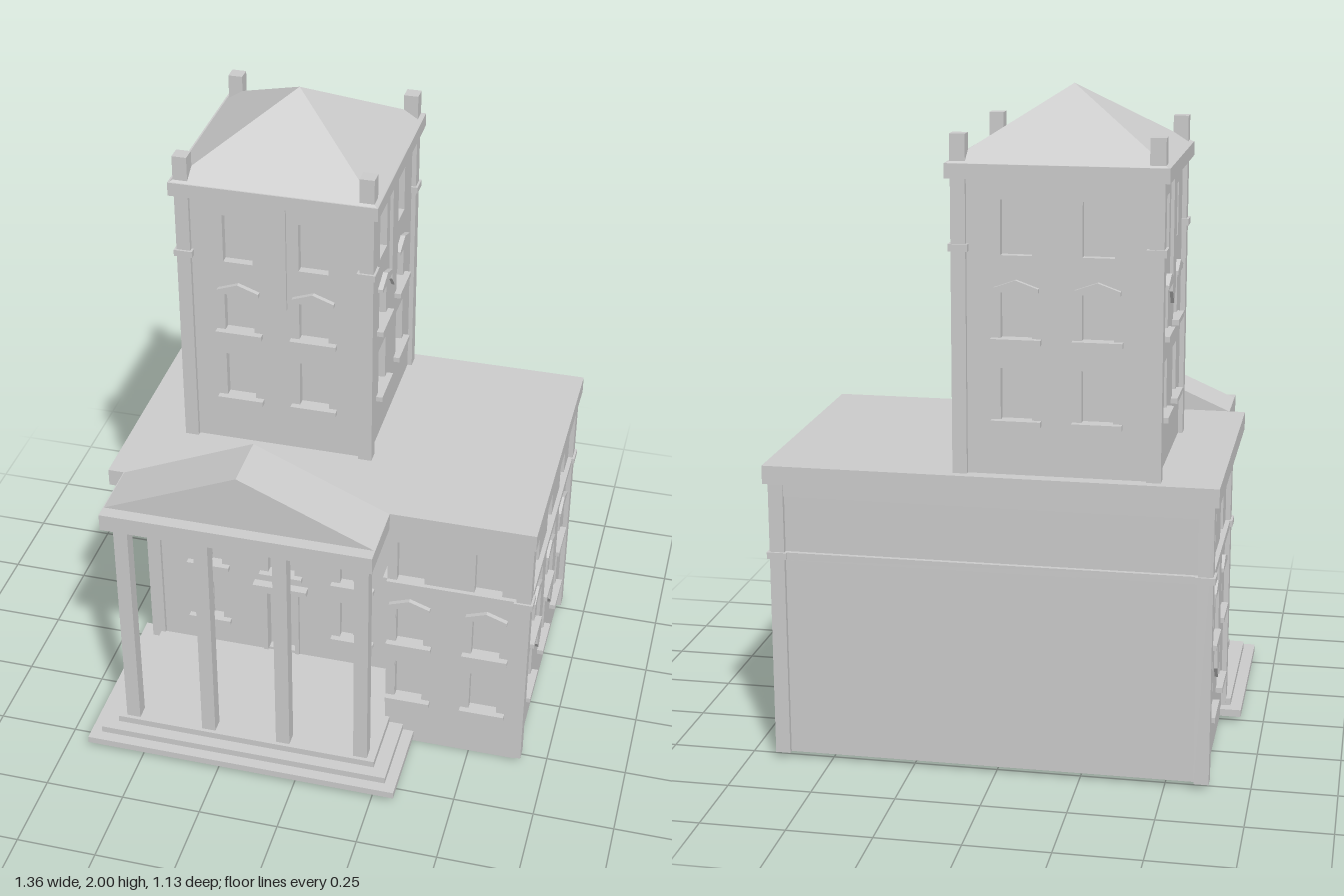
import * as THREE from 'three';

const material = new THREE.MeshStandardMaterial({ color: 0xcccccc, flatShading: true });
const WALL = 0.03; // wall thickness

function add(parent, name, geometry, x = 0, y = 0, z = 0) {
  const mesh = new THREE.Mesh(geometry, material);
  mesh.name = name;
  mesh.position.set(x, y, z);
  parent.add(mesh);
  return mesh;
}

// Box given by its lower and upper limits on each axis
function block(parent, name, [x0, x1], [y0, y1], [z0, z1]) {
  return add(parent, name, new THREE.BoxGeometry(x1 - x0, y1 - y0, z1 - z0),
    (x0 + x1) / 2, (y0 + y1) / 2, (z0 + z1) / 2);
}

function outline(points) {
  return new THREE.Shape(points.map(([x, y]) => new THREE.Vector2(x, y)));
}

function prism(parent, name, points, depth, x = 0, y = 0, z = 0) {
  const geometry = new THREE.ExtrudeGeometry(outline(points), { depth, bevelEnabled: false });
  return add(parent, name, geometry, x, y, z);
}

function group(parent, name, x = 0, y = 0, z = 0, turn = 0) {
  const g = new THREE.Group();
  g.name = name;
  g.position.set(x, y, z);
  g.rotation.y = turn;
  parent.add(g);
  return g;
}

// Wall facing local +z with recessed openings {x, y0, y1, w, sill, hood, mullion}
function facade(parent, name, x, z, turn, width, y0, y1, openings = []) {
  const wall = group(parent, name, x, 0, z, turn);
  const h = width / 2;
  const shape = outline([[-h, y0], [h, y0], [h, y1], [-h, y1]]);
  for (const o of openings) {
    const a = o.x - o.w / 2, b = o.x + o.w / 2;
    shape.holes.push(outline([[a, o.y0], [a, o.y1], [b, o.y1], [b, o.y0]]));
    block(wall, 'pane', [a, b], [o.y0, o.y1], [-WALL, -WALL + 0.004]);
    if (o.mullion) block(wall, 'mullion', [o.x - 0.005, o.x + 0.005], [o.y0, o.y1], [-WALL, -WALL + 0.01]);
    if (o.sill) block(wall, 'sill', [o.x - 0.071, o.x + 0.071], [o.y0 - 0.015, o.y0 + 0.001], [-0.005, 0.02]);
    if (o.hood) {
      prism(wall, 'windowHood', [[-0.064, 0], [0.064, 0], [0.064, 0.012], [0, 0.035], [-0.064, 0.012]],
        0.02, o.x, o.y1 - 0.004, -0.005);
    }
  }
  const geometry = new THREE.ExtrudeGeometry(shape, { depth: WALL, bevelEnabled: false });
  add(wall, 'wall', geometry, 0, 0, -WALL);
  return wall;
}

// Wall of the main building, with a frieze and a string course
function bandedWall(parent, name, x, z, turn, width, y0, openings) {
  const wall = facade(parent, name, x, z, turn, width, y0, 0.87, openings);
  const h = width / 2;
  block(wall, 'frieze', [-h, h], [0.82, 0.866], [-0.01, 0.01]);
  block(wall, 'stringCourse', [-h, h], [0.627, 0.65], [-0.01, 0.014]);
  return wall;
}

// Hanging pointed strip on a wall
function pendant(wall, x, top, shoulder, tip) {
  prism(wall, 'pointedPendant',
    [[-0.034, top], [-0.034, shoulder], [0, tip], [0.034, shoulder], [0.034, top]], 0.01, x);
}

// Square pier with a small capital, centred on x, z
function pier(parent, x, z, w, [y0, y1], capital) {
  const r = w / 2, c = r + 0.007;
  block(parent, 'cornerPier', [x - r, x + r], [y0, y1], [z - r, z + r]);
  block(parent, 'pierCapital', [x - c, x + c], [capital, capital + 0.02], [z - c, z + c]);
}

// Lower and middle windows in one bay
function bay(x, mullion = false) {
  return [
    { x, w: 0.088, y0: 0.18, y1: 0.325, sill: true, mullion },
    { x, w: 0.088, y0: 0.405, y1: 0.552, sill: true, hood: true, mullion },
  ];
}

function mainBlock(root) {
  const main = group(root, 'mainBuilding');
  const quarter = Math.PI / 2;

  // Front wing beside the porch
  const wing = [-0.14, 0.1].flatMap((x) => [...bay(x), { x, w: 0.085, y0: 0.65, y1: 0.795 }]);
  bandedWall(main, 'frontWingWall', 0.4375, 0.275, 0, 0.425, 0, wing);
  bandedWall(main, 'porchReturnWall', 0.225, 0.16, -quarter, 0.228, 0.018);

  // Entrance wall set back behind the porch, around the door
  const entrance = [
    ...bay(-0.245, true), ...bay(0, true).slice(1), ...bay(0.24, true),
    { x: 0, w: 0.092, y0: 0.085, y1: 0.325 },
    ...[-0.245, 0, 0.24].map((x) => ({ x, w: 0.085, y0: 0.65, y1: 0.795, mullion: true })),
  ];
  const wall = bandedWall(main, 'entranceWall', -0.18, 0.045, 0, 0.85, 0, entrance);
  for (const x of [-0.06, 0.046]) block(wall, 'doorJamb', [x, x + 0.014], [0.08, 0.345], [0, 0.015]);
  block(wall, 'doorHead', [-0.06, 0.06], [0.325, 0.345], [0, 0.015]);
  block(wall, 'doorLintel', [-0.09, 0.09], [0.345, 0.365], [0, 0.03]);

  // Side walls: three bays on the left, two on the shorter right
  const sideBay = (x) => [...bay(x), { x, w: 0.086, y0: 0.65, y1: 0.82 }];
  const left = bandedWall(main, 'leftWall', 0.655, -0.1225, quarter, 0.775, 0.018,
    [-0.237, 0, 0.237].flatMap(sideBay));
  for (const x of [-0.117, 0.117]) pendant(left, x, 0.63, 0.275, 0.235);
  const right = bandedWall(main, 'rightWall', -0.615, -0.2375, -quarter, 0.545, 0.018,
    [-0.117, 0.117].flatMap(sideBay));
  pendant(right, 0, 0.63, 0.275, 0.235);
  bandedWall(main, 'backWall', 0.02, -0.52, Math.PI, 1.23, 0.018);

  for (const [x, z] of [[0.648, 0.268], [0.648, -0.513], [-0.608, -0.513], [-0.608, 0.038]]) {
    pier(main, x, z, 0.044, [0.018, 0.868], 0.63);
  }
  block(main, 'roofSlab', [-0.645, 0.677], [0.865, 0.92], [-0.565, 0.305]);
}

function tower(root) {
  const t = group(root, 'tower', -0.179, 0, -0.24);
  const openings = [-0.115, 0.115].flatMap((x) => [
    { x, w: 0.09, y0: 1.08, y1: 1.23, sill: true },
    { x, w: 0.09, y0: 1.315, y1: 1.452, sill: true, hood: true },
    { x, w: 0.09, y0: 1.55, y1: 1.705 },
  ]);
  const h = 0.284;
  for (let i = 0; i < 4; i++) {
    const turn = i * Math.PI / 2;
    const wall = facade(t, 'towerWall', Math.sin(turn) * h, Math.cos(turn) * h, turn,
      2 * h - 0.004, 0.92, 1.77, openings);
    if (i !== 2) pendant(wall, 0, 1.77, 1.415, 1.375);
  }
  block(t, 'towerCornice', [-0.312, 0.312], [1.763, 1.805], [-0.312, 0.312]);

  // Pyramid roof, corner piers and posts
  const roof = new THREE.ConeGeometry(0.307 * Math.SQRT2, 0.195, 4);
  roof.rotateY(Math.PI / 4);
  add(t, 'pyramidRoof', roof, 0, 1.9025, 0);
  for (const x of [-0.277, 0.277]) {
    for (const z of [-0.277, 0.277]) {
      pier(t, x, z, 0.042, [0.92, 1.765], 1.56);
      block(t, 'cornerPost', [x - 0.022, x + 0.022], [1.8, 1.885], [z - 0.022, z + 0.022]);
    }
  }
}

function porch(root) {
  const p = group(root, 'porch', -0.18);
  // Stepped platform
  [[0.5, 0.29], [0.465, 0.255], [0.42, 0.217]].forEach(([hx, hz], i) => {
    const y = 0.018 + i * 0.022;
    block(p, 'step', [-hx, hx], [y, y + 0.0225], [0.272 - hz, 0.272 + hz]);
  });
  for (const x of [-0.373, -0.122, 0.122, 0.373]) {
    block(p, 'column', [x - 0.022, x + 0.022], [0.084, 0.868], [0.433, 0.477]);
  }
  block(p, 'entablature', [-0.416, 0.416], [0.865, 0.92], [0.3, 0.527]);
  prism(p, 'gableRoof', [[-0.416, 0.919], [0.416, 0.919], [0, 1.1]], 0.182, 0, 0, 0.305);
}

export function createModel() {
  const root = new THREE.Group();
  root.name = 'building';
  mainBlock(root);
  tower(root);
  porch(root);
  return root;
}
